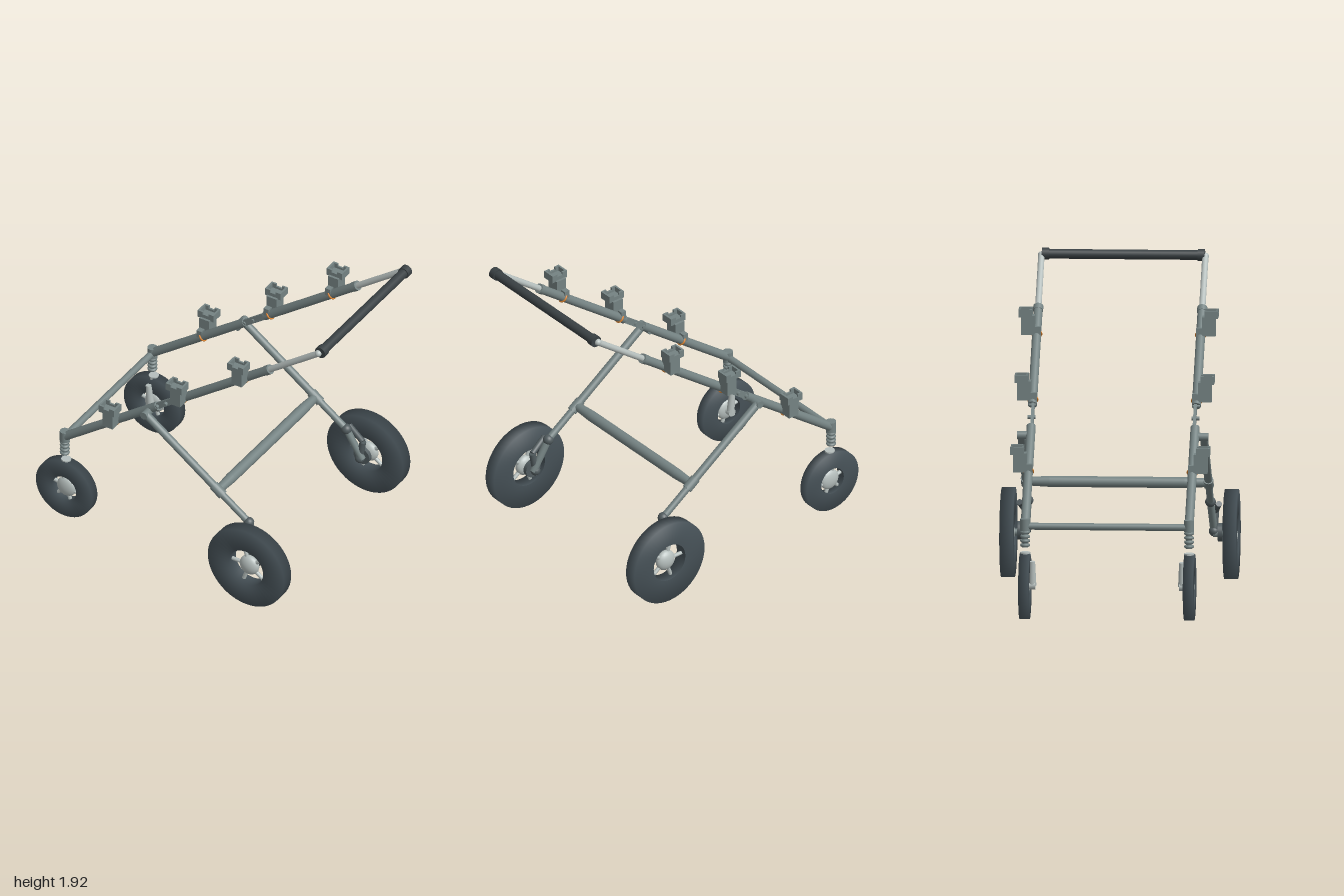
import * as THREE from 'three';

const mat = (name, color) => new THREE.MeshStandardMaterial({ name, color });
const V = (x, y, z) => new THREE.Vector3(x, y, z);

export function createModel() {
  const root = new THREE.Group();
  root.name = 'strollerFrame';
  const frame = mat('frame grey', 0x758383);
  const chrome = mat('light metal', 0xb6bfbd);
  const tyre = mat('tyre', 0x465157);
  const grip = mat('grip', 0x3a4144);
  const dark = mat('dark fitting', 0x515b5e);
  const orange = mat('orange band', 0xd9822f);

  const add = (parent, name, geo, m, p = V(0, 0, 0)) => {
    const mesh = new THREE.Mesh(geo, m);
    mesh.name = name;
    mesh.position.copy(p);
    parent.add(mesh);
    return mesh;
  };
  // Round bar between two points, r0 at a and r1 at b
  const rod = (parent, name, m, a, b, r0, r1 = r0, sides = 20) => {
    const d = b.clone().sub(a);
    const mesh = add(parent, name, new THREE.CylinderGeometry(r1, r0, d.length(), sides), m, a.clone().add(b).multiplyScalar(0.5));
    mesh.quaternion.setFromUnitVectors(V(0, 1, 0), d.normalize());
    return mesh;
  };
  const ball = (parent, name, m, p, r) => add(parent, name, new THREE.SphereGeometry(r, 20, 14), m, p);

  // Main tube line: height for a given x
  const onTube = (x, z) => V(x, 0.56 + 0.748 * (x + 0.82), z);
  const tubeDir = V(1, 0.748, 0).normalize();

  // Wheel with flat tyre ring, spokes and domed hub
  function wheel(name, x, y, z, R, hole, width, spokes) {
    const g = new THREE.Group();
    g.name = name;
    g.position.set(x, y, z);
    const h = width / 2;
    const profile = [[hole, -h], [R, -h], [R, h], [hole, h], [hole, -h]].map(p => new THREE.Vector2(...p));
    add(g, 'tyre', new THREE.LatheGeometry(profile, 48).rotateX(Math.PI / 2), tyre);
    for (let i = 0; i < spokes; i++) {
      const a = Math.PI / 2 + 0.3 + i * 2 * Math.PI / spokes;
      rod(g, 'spoke', chrome, V(0, 0, 0), V(Math.cos(a) * (hole + 0.01), Math.sin(a) * (hole + 0.01), 0), 0.012, 0.012, 10);
    }
    ball(g, 'hub', chrome, V(0, 0, 0), 0.065).scale.z = h * 0.95 / 0.065;
    root.add(g);
  }

  // Clamp: block on the tube with an open, notched cup on top
  function clamp(x, s) {
    const g = new THREE.Group();
    g.name = 'clamp';
    const base = onTube(x, 0).y - 0.005;
    g.position.set(x, base, 0.535 * s);
    add(g, 'clampBody', new THREE.BoxGeometry(0.07, 0.115, 0.08), frame, V(0, 0.06, 0));
    add(g, 'clampFoot', new THREE.BoxGeometry(0.035, 0.05, 0.04), frame, V(-0.015, 0.025, -0.055 * s));
    add(g, 'cupFloor', new THREE.BoxGeometry(0.11, 0.015, 0.08), frame, V(0, 0.118, 0.015 * s));
    const notched = new THREE.Shape([[-0.055, 0], [0.055, 0], [0.055, 0.035], [0.02, 0.035], [0.02, 0.018],
      [-0.02, 0.018], [-0.02, 0.035], [-0.055, 0.035]].map(p => new THREE.Vector2(...p)));
    for (const e of [-1, 1]) {
      const wall = new THREE.ExtrudeGeometry(notched, { depth: 0.012, bevelEnabled: false });
      add(g, 'cupNotchedWall', wall, frame, V(0, 0.122, 0.015 * s + e * 0.034 - 0.006));
      add(g, 'cupSideWall', new THREE.BoxGeometry(0.012, 0.035, 0.058), frame, V(e * 0.049, 0.1395, 0.015 * s));
    }
    root.add(g);
    const ring = add(root, 'orangeBand', new THREE.TorusGeometry(0.028, 0.006, 8, 28), orange, onTube(x, 0.485 * s));
    ring.quaternion.setFromUnitVectors(V(0, 0, 1), tubeDir);
  }

  for (const s of [-1, 1]) {
    const z = 0.485 * s;
    // Folding side rail
    rod(root, 'lowerRail', frame, onTube(-0.82, z), onTube(-0.17, z), 0.027);
    rod(root, 'upperRail', frame, onTube(-0.03, z), onTube(0.61, z), 0.027);
    rod(root, 'railCollar', frame, onTube(0.585, z), onTube(0.615, z), 0.03);
    rod(root, 'handleTube', chrome, onTube(0.6, z), onTube(0.945, z), 0.019);
    const link = add(root, 'foldLink', new THREE.BoxGeometry(0.2, 0.038, 0.018), frame, onTube(-0.1, 0.48 * s));
    link.rotation.z = Math.atan(0.748);
    for (const x of [-0.17, -0.11, -0.03]) {
      rod(root, 'foldPin', frame, onTube(x, 0.462 * s), onTube(x, 0.508 * s), 0.012);
    }

    // Handle corner and collar
    ball(root, 'handleCorner', chrome, V(0.95, 1.885, z), 0.021);
    rod(root, 'handleCollar', grip, V(0.96, 1.89, 0.44 * s), V(0.96, 1.89, 0.482 * s), 0.036);

    for (const x of [-0.465, 0.005, 0.435]) clamp(x, s);

    // Rear leg with pivot and collar
    const zl = 0.54 * s;
    const top = V(-0.22, 1.0, zl), mid = V(0.285, 0.642, zl), end = V(0.5, 0.49, zl);
    rod(root, 'legPivot', frame, V(-0.22, 1.0, 0.465 * s), V(-0.22, 1.0, 0.565 * s), 0.024);
    rod(root, 'upperLeg', frame, top, mid, 0.024);
    rod(root, 'lowerLeg', frame, mid, end, 0.021);
    rod(root, 'legCollar', frame, mid.clone().lerp(top, 0.06), mid.clone().lerp(end, 0.16), 0.03);
    ball(root, 'legEnd', dark, end, 0.032);

    // Rear suspension arm, damper and axle
    rod(root, 'suspensionArm', frame, end, V(0.6, 0.3, 0.555 * s), 0.022);
    rod(root, 'damper', dark, V(0.49, 0.48, 0.59 * s), V(0.6, 0.42, 0.565 * s), 0.018);
    rod(root, 'damperLink', dark, V(0.6, 0.42, 0.565 * s), V(0.58, 0.29, 0.56 * s), 0.02);
    ball(root, 'armJoint', dark, V(0.585, 0.3, 0.555 * s), 0.03);
    rod(root, 'rearAxle', frame, V(0.58, 0.285, 0.55 * s), V(0.58, 0.285, 0.65 * s), 0.02);
    rod(root, 'brakeDisc', dark, V(0.58, 0.295, 0.58 * s), V(0.58, 0.295, 0.605 * s), 0.055, 0.055, 28);
    wheel('rearWheel', 0.58, 0.285, 0.66 * s, 0.266, 0.12, 0.08, 5);

    // Front caster: socket, ribbed spring, stem cap and one-sided fork
    rod(root, 'casterSocket', frame, V(-0.82, 0.53, z), V(-0.82, 0.6, z), 0.03);
    rod(root, 'springCore', frame, V(-0.82, 0.43, z), V(-0.82, 0.54, z), 0.018);
    for (let i = 0; i < 4; i++) {
      const coil = new THREE.TorusGeometry(0.02, 0.01, 8, 24).rotateX(Math.PI / 2);
      add(root, 'springCoil', coil, frame, V(-0.82, 0.443 + i * 0.026, z));
    }
    rod(root, 'stemCap', chrome, V(-0.81, 0.38, z), V(-0.81, 0.4, z), 0.03);
    rod(root, 'forkArm', chrome, V(-0.806, 0.2, 0.443 * s), V(-0.82, 0.345, 0.443 * s), 0.024, 0.017);
    rod(root, 'frontAxle', chrome, V(-0.806, 0.2, 0.425 * s), V(-0.806, 0.2, 0.49 * s), 0.025);
    wheel('frontWheel', -0.806, 0.197, 0.487 * s, 0.196, 0.085, 0.06, 6);
  }

  // Cross bars and handle grip
  rod(root, 'frontCrossBar', frame, V(-0.82, 0.556, -0.485), V(-0.82, 0.556, 0.485), 0.021);
  rod(root, 'rearCrossBar', frame, V(0.285, 0.64, -0.4), V(0.285, 0.64, 0.4), 0.033);
  for (const s of [-1, 1]) rod(root, 'rearCrossBarEnd', frame, V(0.285, 0.64, 0.4 * s), V(0.285, 0.64, 0.54 * s), 0.033, 0.025);
  rod(root, 'handleGrip', grip, V(0.96, 1.89, -0.46), V(0.96, 1.89, 0.46), 0.029);

  return root;
}
